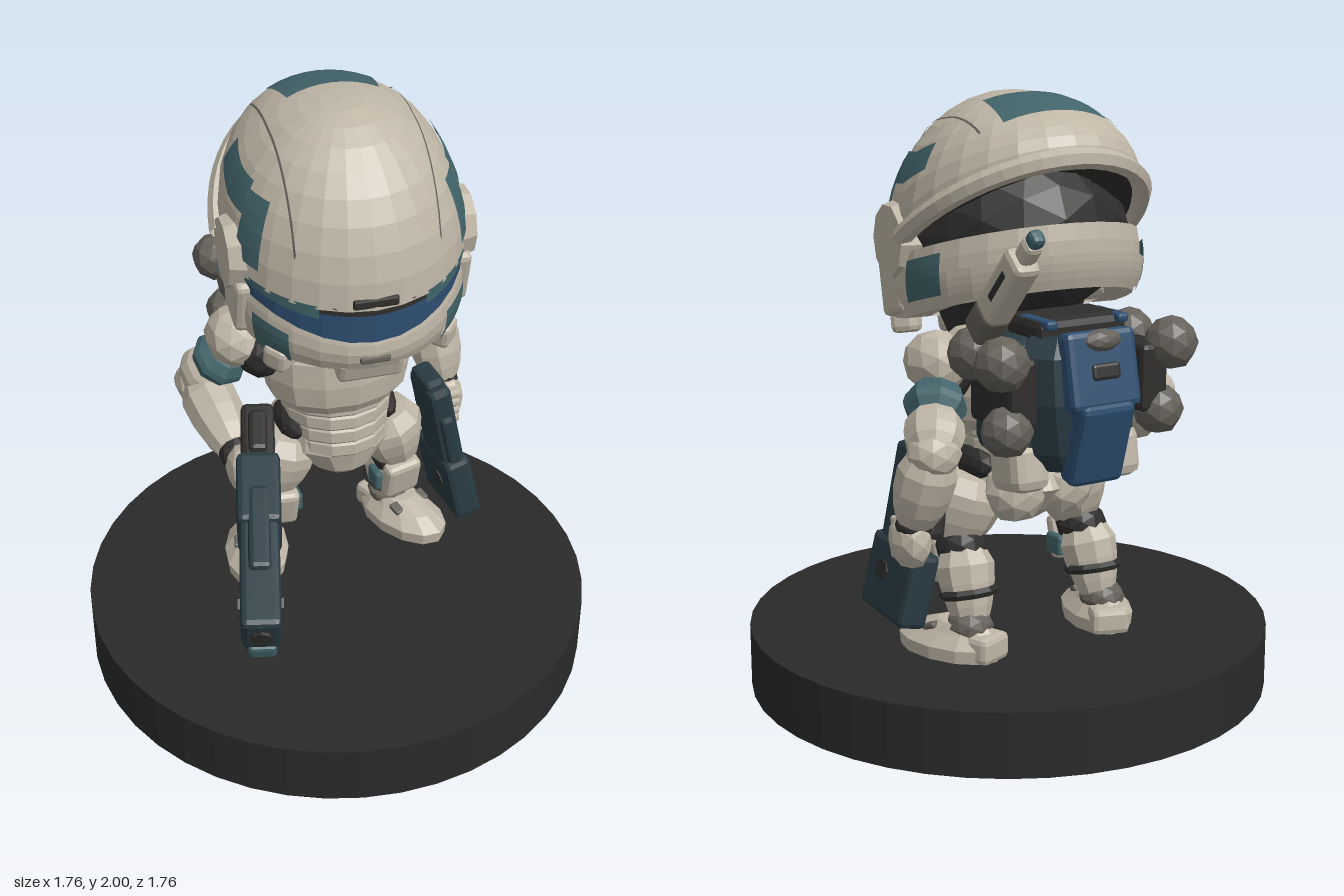
import * as THREE from 'three';
import { RoundedBoxGeometry } from 'three/addons/geometries/RoundedBoxGeometry.js';

const mat = (name, color) => new THREE.MeshStandardMaterial({ name, color, flatShading: true, side: THREE.DoubleSide });
const cream = mat('bone armour', 0xbfb6a6), teal = mat('teal paint', 0x42646a), blue = mat('blue glass', 0x2d4e70);
const slate = mat('gun slate', 0x293b43), dark = mat('dark joints', 0x2f2e2d), grey = mat('warm grey', 0x65615a);
const stone = mat('base charcoal', 0x2a2a2a);
const V = (x, y, z) => new THREE.Vector3(x, y, z);
const rad = THREE.MathUtils.degToRad, mix = THREE.MathUtils.lerp;

function add(parent, name, geo, material, x = 0, y = 0, z = 0, rx = 0, ry = 0, rz = 0) {
  const m = new THREE.Mesh(geo, material);
  m.name = name;
  m.position.set(x, y, z);
  m.rotation.set(rx, ry, rz);
  parent.add(m);
  return m;
}
function group(parent, name, x = 0, y = 0, z = 0) {
  const g = new THREE.Group();
  g.name = name;
  g.position.set(x, y, z);
  parent.add(g);
  return g;
}
// Chamfered block
const block = (w, h, d, r = 0.02) => new RoundedBoxGeometry(w, h, d, 1, Math.min(r, w / 3, h / 3, d / 3));
// Slightly uneven faceted ellipsoid
function ball(rx, ry, rz, detail = 1) {
  const g = new THREE.IcosahedronGeometry(1, detail), p = g.attributes.position;
  for (let i = 0; i < p.count; i++) {
    const k = 1 + 0.025 * Math.sin(p.getX(i) * 9 + p.getY(i) * 13 + p.getZ(i) * 7);
    p.setXYZ(i, p.getX(i) * k * rx, p.getY(i) * k * ry, p.getZ(i) * k * rz);
  }
  g.computeVertexNormals();
  return g;
}
// Surface from a rule f(u, v)
function grid(nu, nv, f) {
  const pos = [], idx = [];
  for (let j = 0; j <= nv; j++) for (let i = 0; i <= nu; i++) pos.push(...f(i / nu, j / nv).toArray());
  for (let j = 0; j < nv; j++) for (let i = 0; i < nu; i++) {
    const a = j * (nu + 1) + i, b = a + nu + 1;
    idx.push(a, a + 1, b + 1, a, b + 1, b);
  }
  const g = new THREE.BufferGeometry();
  g.setAttribute('position', new THREE.Float32BufferAttribute(pos, 3));
  g.setIndex(idx);
  g.computeVertexNormals();
  return g;
}
// Closed loft through elliptical rings [y, rx, rz, cz], bottom to top
function loft(rings, sides = 14) {
  const first = rings[0], last = rings[rings.length - 1];
  const all = [[first[0], 0, 0, first[3]], ...rings, [last[0], 0, 0, last[3]]];
  return grid(sides, all.length - 1, (u, v) => {
    const [y, rx, rz, cz] = all[Math.round(v * (all.length - 1))], a = u * Math.PI * 2;
    return V(Math.sin(a) * rx, y, cz + Math.cos(a) * rz);
  });
}
// Tapered rounded limb between two points
function limb(parent, name, material, a, b, r0, r1, sides = 9) {
  const d = b.clone().sub(a), L = d.length();
  const pts = [[0, -r0 * 0.4], [r0 * 0.75, -r0 * 0.25], [r0, L * 0.18], [(r0 + r1) * 0.53, L * 0.55],
    [r1, L * 0.85], [r1 * 0.75, L + r1 * 0.25], [0, L + r1 * 0.4]].map(p => new THREE.Vector2(...p));
  const m = add(parent, name, new THREE.LatheGeometry(pts, sides), material, a.x, a.y, a.z);
  m.quaternion.setFromUnitVectors(V(0, 1, 0), d.normalize());
}

// Helmet rules: a is the angle round from the front, s rises from rim to crown
const rim = c => (c > 0 ? 1.54 - 0.07 * c : 1.54 - 0.29 * c);
const ring = (a, y, k) => V(0.4 * k * Math.sin(a), y, (Math.cos(a) > 0 ? 0.41 : 0.44) * k * Math.cos(a));
function dome(a, s, e = 0) {
  const y = rim(Math.cos(a)), p = ring(a, y, Math.cos(s) * (1 + e * 2.5));
  p.y = y + (2 - y + e) * Math.sin(s);
  return p;
}
const domeXZ = (x, z, e) => {
  const u = x / 0.4, v = z / (z > 0 ? 0.41 : 0.44);
  return dome(Math.atan2(u, v), Math.acos(Math.min(1, Math.hypot(u, v))), e);
};
const jawTop = c => (c > 0 ? 1.5 - 0.13 * c * c : 1.5 - 0.13 * c);
const jawLow = c => (c > 0 ? 1.3 - 0.06 * c : 1.3 - 0.13 * c);
function jaw(a, t, e = 0) {
  const c = Math.cos(a), y = mix(jawTop(c), jawLow(c), Math.min(t, 1));
  return ring(a, y, t > 1 ? 0.72 : 0.97 + 0.06 * Math.sin(t * 2.6) - 0.06 * t + e);
}

function helmet(parent) {
  const h = group(parent, 'helmet', 0.08, 0, -0.15);
  h.rotation.y = -0.12;
  const patch = (name, m, a0, a1, f) => add(h, name, grid(12, 4, (u, v) => f(rad(mix(a0, a1, u)), v)), m);
  add(h, 'helmetCore', ball(0.36, 0.3, 0.37, 2), dark, 0, 1.57, 0);
  add(h, 'helmetDome', grid(28, 9, (u, v) => dome(u * Math.PI * 2, v * Math.PI / 2)), cream);
  add(h, 'jawGuard', grid(28, 5, (u, v) => jaw(u * Math.PI * 2, v * 1.25)), cream);
  // Raised rear brim and its underside
  const edge = [];
  for (let d = 95; d <= 265; d += 10) edge.push(dome(rad(d), 0.02).add(V(0, -0.012, 0)));
  add(h, 'rearBrim', new THREE.TubeGeometry(new THREE.CatmullRomCurve3(edge), 24, 0.032, 6), cream);
  patch('brimUnderside', dark, 95, 265, (a, v) => ring(a, rim(Math.cos(a)) - 0.06 * v, 1 - 0.3 * v));
  patch('rearJawBand', cream, 112, 248, (a, v) => jaw(a, mix(0.45, 0.95, v), 0.02));
  // Visor, its frame and centre clip
  const visor = (lo, hi, k) => (a, v) => {
    const c = Math.cos(a);
    return ring(a, mix(jawTop(c) - 0.02, rim(c) + 0.01, mix(lo, hi, v)), k);
  };
  patch('visor', blue, -72, 72, visor(0, 1, 0.985));
  patch('visorTopGap', dark, -28, 28, visor(0.78, 1, 0.993));
  add(h, 'visorClip', block(0.15, 0.035, 0.03, 0.008), dark, 0, 1.495, 0.395);
  // Painted plates on the crown
  add(h, 'rearPaint', grid(8, 6, (u, v) => domeXZ(mix(-0.17, 0.17, u) * (0.88 + 0.12 * v), mix(-0.12, -0.31, v) + 0.02 * (2 * u - 1) ** 2, 0.006)), teal);
  add(h, 'chinPlate', block(0.22, 0.1, 0.08), cream, 0, 1.23, 0.33, 0.35);
  add(h, 'chinVent', block(0.1, 0.025, 0.02), grey, 0, 1.285, 0.4);
  for (const s of [-1, 1]) {
    patch('visorFrame', teal, s * 26, s * 72, visor(0.6, 1, 0.997));
    patch('sidePaint', teal, s * 72, s * 108, (a, v) => dome(a, mix(0.4, 0.64, v), 0.006));
    patch('sidePaintFront', teal, s * 56, s * 72, (a, v) => dome(a, mix(0.12, 0.58, v), 0.006));
    patch('jawPaint', teal, s * 40, s * 60, (a, v) => jaw(a, mix(0.32, 0.98, v), 0.02));
    patch('rearJawPaint', teal, s * 100, s * 120, (a, v) => jaw(a, mix(0.15, 0.8, v), 0.024));
    add(h, 'crownSeam', grid(18, 1, (u, v) => domeXZ(s * (0.23 + 0.006 * v), mix(-0.26, 0.31, u), 0.003)), grey);
    add(h, 'earDisc', new THREE.CylinderGeometry(0.115, 0.14, 0.08, 10), cream, s * 0.37, 1.54, 0.05, 0, 0, -s * Math.PI / 2);
    add(h, 'cheekPanel', block(0.08, 0.2, 0.17), cream, s * 0.355, 1.4, 0.08, 0.25);
    add(h, 'jawBlock', block(0.09, 0.09, 0.09), cream, s * 0.27, 1.25, 0.24, 0.2, s * 0.85);
  }
}

function torso(parent) {
  const t = group(parent, 'torso', 0.06, 0, 0);
  add(t, 'neck', new THREE.CylinderGeometry(0.25, 0.19, 0.2, 12), dark, 0.01, 1.26, -0.15, 0.25);
  add(t, 'collar', new THREE.TorusGeometry(0.2, 0.035, 5, 14), grey, 0, 1.2, -0.14, Math.PI / 2 + 0.2);
  add(t, 'chest', loft([[0.92, 0.2, 0.16, -0.14], [0.97, 0.25, 0.19, -0.14], [1.05, 0.265, 0.205, -0.145],
    [1.14, 0.265, 0.2, -0.145], [1.22, 0.21, 0.16, -0.15]]), cream);
  add(t, 'waist', loft([[0.7, 0.15, 0.13, -0.15], [0.96, 0.19, 0.155, -0.15]]), grey);
  // Overlapping belly bands
  for (let i = 0; i < 4; i++) {
    const w = 0.2 - i * 0.008, y = 0.935 - i * 0.056;
    add(t, 'bellyBand', loft([[y - 0.036, w - 0.008, 0.163, -0.15], [y - 0.02, w, 0.176, -0.15], [y + 0.02, w + 0.003, 0.176, -0.15], [y + 0.034, w, 0.165, -0.15]]), cream);
  }
  add(t, 'pelvis', loft([[0.61, 0.07, 0.08, -0.14], [0.66, 0.13, 0.15, -0.15], [0.74, 0.2, 0.19, -0.17], [0.81, 0.19, 0.16, -0.16]]), cream);
  for (const s of [-1, 1]) {
    add(t, 'trapezius', ball(0.13, 0.09, 0.13), cream, s * 0.21, 1.2, -0.24);
    add(t, 'seat', ball(0.11, 0.11, 0.09), cream, s * 0.09, 0.74, -0.28);
    add(t, 'hipJoint', ball(0.05, 0.06, 0.1), dark, s * 0.17, 0.82, -0.16);
    // Legs
    const leg = group(t, s > 0 ? 'leftLeg' : 'rightLeg');
    limb(leg, 'thigh', cream, V(s * 0.23, 0.6, -0.15), V(s * 0.19, 0.74, -0.16), 0.105, 0.125);
    add(leg, 'knee', ball(0.085, 0.075, 0.09), dark, s * 0.235, 0.55, -0.18);
    limb(leg, 'shin', cream, V(s * 0.25, 0.33, -0.26), V(s * 0.24, 0.52, -0.2), 0.075, 0.098);
    add(leg, 'kneePad', block(0.14, 0.15, 0.06), cream, s * 0.235, 0.49, -0.11, 0.25, s * 0.15);
    add(leg, 'shinPaint', block(0.03, 0.07, 0.08), teal, s * 0.155, 0.48, -0.15);
    add(leg, 'shinStrap', new THREE.TorusGeometry(0.083, 0.016, 5, 10), dark, s * 0.245, 0.41, -0.24, Math.PI / 2 + 0.25);
    add(leg, 'ankle', ball(0.075, 0.06, 0.08), grey, s * 0.26, 0.31, -0.27);
    const foot = group(leg, 'foot', s * 0.29, 0.21, -0.2);
    foot.rotation.y = s * 0.35;
    add(foot, 'shoe', loft([[0, 0.11, 0.19, 0], [0.045, 0.115, 0.195, 0], [0.085, 0.08, 0.15, -0.02], [0.115, 0.06, 0.09, -0.05]], 12), cream);
    add(foot, 'heel', block(0.13, 0.09, 0.09), cream, 0, 0.045, -0.15);
    add(foot, 'instepStrap', block(0.16, 0.02, 0.05), grey, 0, 0.095, 0.03, 0.35);
  }
}

function arm(parent, name, s, shoulder, elbow, hand) {
  const g = group(parent, name), at = (a, b, k) => a.clone().lerp(b, k);
  add(g, 'shoulderJoint', ball(0.09, 0.1, 0.11), dark, shoulder.x - s * 0.07, shoulder.y, shoulder.z + 0.05);
  add(g, 'shoulderPlate', ball(0.1, 0.1, 0.125), cream, shoulder.x, shoulder.y + 0.035, shoulder.z);
  limb(g, 'upperArmPaint', teal, at(shoulder, elbow, 0.3), at(shoulder, elbow, 0.55), 0.095, 0.095, 8);
  limb(g, 'upperArm', cream, at(shoulder, elbow, 0.62), elbow, 0.092, 0.088);
  add(g, 'elbow', ball(0.085, 0.08, 0.085), cream, elbow.x, elbow.y - 0.01, elbow.z);
  limb(g, 'forearm', cream, at(elbow, hand, 0.12), at(elbow, hand, 0.72), 0.095, 0.08);
  add(g, 'wrist', ball(0.06, 0.06, 0.06), dark, ...at(elbow, hand, 0.82).toArray());
  add(g, 'fist', ball(0.06, 0.09, 0.09), cream, hand.x, hand.y, hand.z);
  for (let i = 0; i < 4; i++)
    add(g, 'finger', block(0.06, 0.033, 0.06, 0.012), cream, hand.x - s * 0.01, hand.y + 0.045 - i * 0.035, hand.z + 0.065);
}

function rifle(parent) {
  const r = group(parent, 'rifle', -0.285, 0.975, 0.01);
  r.rotation.set(0.33, -0.345, 0, 'YXZ');
  add(r, 'stock', block(0.11, 0.19, 0.24), dark, 0, 0.01, 0.12);
  add(r, 'stockRidge', block(0.06, 0.05, 0.16), dark, 0, 0.1, 0.12);
  add(r, 'receiver', block(0.14, 0.21, 0.26), slate, 0, 0.04, 0.35);
  add(r, 'barrelHousing', block(0.125, 0.15, 0.42), slate, 0, 0.055, 0.63);
  add(r, 'topRail', block(0.07, 0.05, 0.3), slate, 0, 0.125, 0.5);
  add(r, 'foreGuard', block(0.105, 0.075, 0.34), slate, 0, -0.15, 0.6);
  add(r, 'foreGuardTip', block(0.09, 0.06, 0.04), teal, 0, -0.155, 0.765);
  add(r, 'foreGuardMount', block(0.07, 0.08, 0.1), slate, 0, -0.08, 0.69);
  add(r, 'bracket', block(0.08, 0.2, 0.07), slate, 0, -0.08, 0.4, -0.3);
  add(r, 'muzzle', new THREE.CylinderGeometry(0.035, 0.035, 0.02, 8), dark, 0, 0.055, 0.84, Math.PI / 2);
  add(r, 'sideBolt', new THREE.CylinderGeometry(0.04, 0.04, 0.14, 8), dark, 0, 0.04, 0.72, 0, 0, Math.PI / 2);
  add(r, 'grip', block(0.06, 0.17, 0.07), dark, 0, -0.11, 0.1, 0.2);
  add(r, 'triggerGuard', new THREE.TorusGeometry(0.045, 0.012, 5, 8), dark, 0, -0.08, 0.2, 0, Math.PI / 2);
}

function pistol(parent) {
  const p = group(parent, 'pistol', 0.455, 0.61, -0.11);
  p.rotation.z = 0.21;
  add(p, 'slide', block(0.085, 0.56, 0.19), slate, 0, 0, 0);
  add(p, 'muzzleBlock', block(0.1, 0.25, 0.28), slate, 0, -0.16, -0.005, -0.08);
  add(p, 'sight', block(0.05, 0.3, 0.04), slate, 0, 0.02, 0.095);
  add(p, 'grip', block(0.07, 0.1, 0.18), dark, 0.03, 0.06, -0.13, 0.15);
  add(p, 'sideBolt', new THREE.CylinderGeometry(0.035, 0.035, 0.11, 8), dark, 0, -0.14, 0.03, 0, 0, Math.PI / 2);
  add(p, 'rearCap', block(0.075, 0.05, 0.14), slate, 0, 0.28, -0.01);
}

function backpack(parent) {
  const b = group(parent, 'backpack', 0.11, 0, 0);
  add(b, 'packFrame', block(0.46, 0.38, 0.26, 0.05), slate, 0, 1.1, -0.44);
  add(b, 'packTop', block(0.32, 0.08, 0.2, 0.03), dark, 0, 1.31, -0.5);
  add(b, 'packShell', loft([[0.88, 0.12, 0.06, -0.58], [0.94, 0.17, 0.09, -0.58], [1.1, 0.21, 0.13, -0.57],
    [1.24, 0.21, 0.13, -0.56], [1.3, 0.17, 0.1, -0.56]], 8), slate);
  // Blue back plate, bowed out in the middle
  add(b, 'backPlateTop', block(0.25, 0.24, 0.07), blue, 0, 1.2, -0.675, 0.2);
  add(b, 'backPlateLow', block(0.19, 0.27, 0.08), blue, 0, 0.98, -0.67, -0.28);
  add(b, 'packVent', block(0.1, 0.05, 0.03), dark, 0, 1.2, -0.705, 0.2);
  add(b, 'packKnob', ball(0.07, 0.035, 0.04), grey, 0, 1.29, -0.68);
  for (const s of [-1, 1]) {
    add(b, 'topStripe', block(0.04, 0.03, 0.16), blue, s * 0.13, 1.335, -0.54);
    add(b, 'rearThruster', ball(0.085, 0.085, 0.085), grey, s * 0.31, 1.24, -0.62);
    add(b, 'frontThruster', ball(0.08, 0.085, 0.085), grey, s * 0.29, 1.24, -0.43);
    add(b, 'lowerThruster', ball(0.08, 0.08, 0.08), grey, s * 0.28, 1.03, -0.6);
    add(b, 'thrusterArm', block(0.1, 0.22, 0.24), dark, s * 0.24, 1.14, -0.52);
    add(b, 'lowerPouch', block(0.13, 0.16, 0.17, 0.035), cream, s * 0.17, 0.89, -0.5, 0.15);
  }
  // Angled rod on the left of the pack
  const rod = group(b, 'rod', 0.295, 1.33, -0.5);
  rod.rotation.x = -0.75;
  add(rod, 'rodBase', block(0.09, 0.12, 0.1), grey, 0, 0.03, 0);
  add(rod, 'rodBody', block(0.085, 0.26, 0.1), cream, 0, 0.19, 0);
  add(rod, 'rodSlot', block(0.09, 0.12, 0.025, 0.005), dark, 0, 0.2, 0);
  add(rod, 'rodNeck', block(0.055, 0.08, 0.06), cream, 0, 0.35, 0);
  add(rod, 'rodTip', block(0.045, 0.05, 0.05), teal, 0, 0.4, 0);
}

export function createModel() {
  const model = new THREE.Group();
  model.name = 'armouredFigure';
  add(model, 'displayBase', new THREE.CylinderGeometry(0.88, 0.88, 0.212, 44), stone, 0, 0.106, 0);
  helmet(model);
  torso(model);
  arm(model, 'leftArm', 1, V(0.4, 1.14, -0.21), V(0.53, 0.95, -0.41), V(0.565, 0.65, -0.32));
  arm(model, 'rightArm', -1, V(-0.28, 1.14, -0.21), V(-0.38, 0.96, -0.32), V(-0.35, 0.82, 0.05));
  rifle(model);
  pistol(model);
  backpack(model);
  return model;
}
